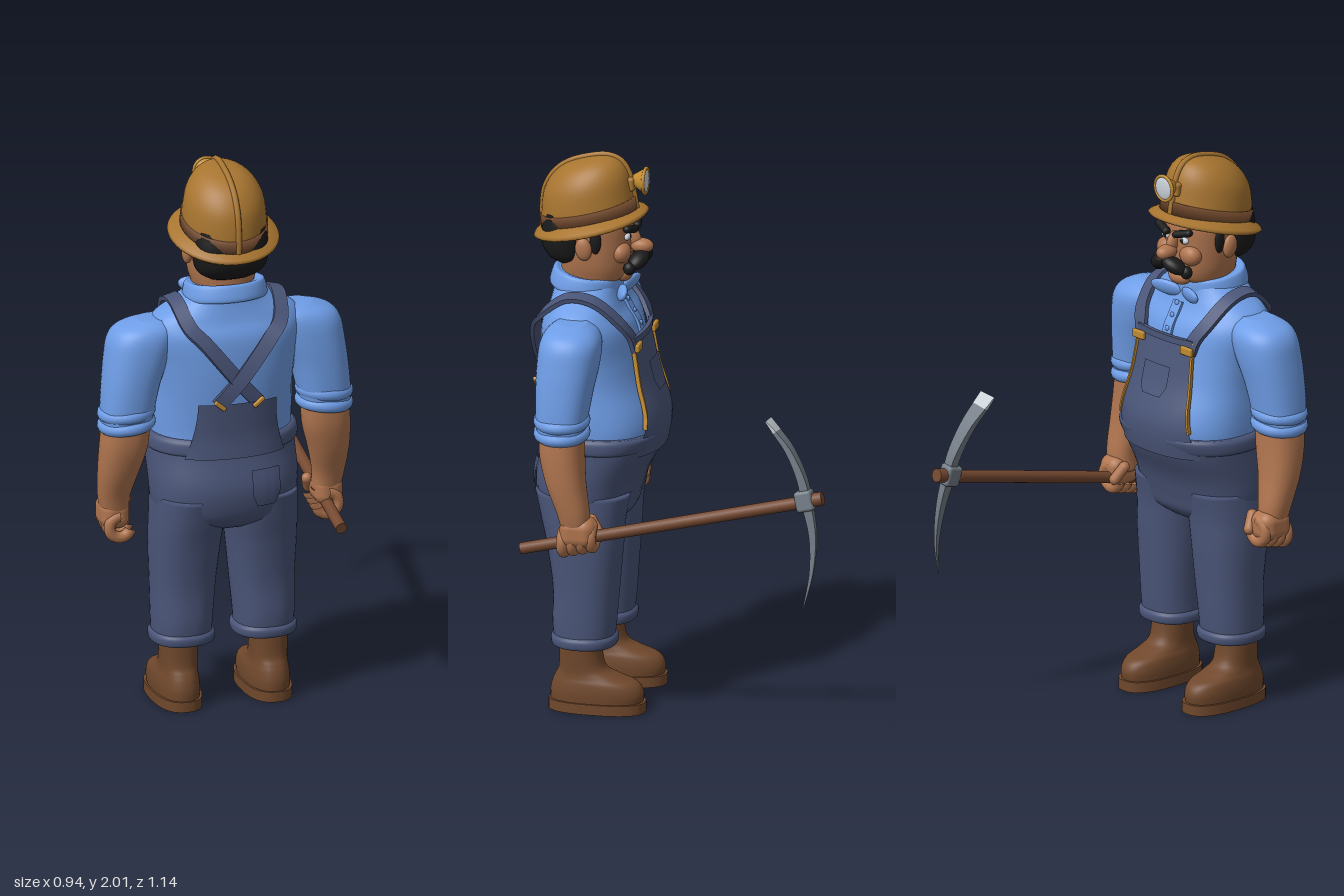
import * as THREE from 'three';
import { toCreasedNormals } from 'three/addons/utils/BufferGeometryUtils.js';
import { RoundedBoxGeometry } from 'three/addons/geometries/RoundedBoxGeometry.js';

const V = (x, y, z) => new THREE.Vector3(x, y, z);
const colours = {
  skin: 0xb0754f, shirt: 0x6f9ee8, denim: 0x4a5578, brass: 0xa87530, leather: 0x70482c,
  hair: 0x1a1a1a, steel: 0x727c86, pale: 0xc8d0d6, gold: 0xc08a30, wood: 0x744830,
};
const mats = {};
for (const [name, hex] of Object.entries(colours)) {
  mats[name] = new THREE.MeshStandardMaterial({ color: hex });
  mats[name].name = name;
}
mats.denim.side = THREE.DoubleSide;

function add(parent, name, geo, mat, pos = [0, 0, 0], scale = [1, 1, 1], rot = [0, 0, 0]) {
  const m = new THREE.Mesh(geo, mats[mat]);
  m.name = name;
  m.position.set(...pos); m.scale.set(...scale); m.rotation.set(...rot);
  parent.add(m);
  return m;
}

// Closed body through rounded cross-sections [y, cx, cz, rx, rz], listed bottom to top
function loft(rings, power = 2.3, seg = 40, sub = 5) {
  const pos = [], idx = [], rows = [], last = rings.length - 1;
  for (let i = 0; i < last; i++) for (let k = 0; k < sub; k++) {
    const [a, b, c, d] = [i - 1, i, i + 1, i + 2].map(j => rings[Math.min(last, Math.max(0, j))]);
    const t = k / sub;
    rows.push(b.map((v, n) => v + 0.5 * t * (c[n] - a[n] + t * (2 * a[n] - 5 * v + 4 * c[n] - d[n]
      + t * (3 * (v - c[n]) + d[n] - a[n])))));
  }
  rows.push(rings[last]);
  const bend = v => Math.sign(v) * Math.abs(v) ** (2 / power);
  rows.forEach(([y, cx, cz, rx, rz], r) => {
    for (let j = 0; j < seg; j++) {
      const a = j / seg * Math.PI * 2, n = (j + 1) % seg, p = r * seg;
      pos.push(cx + rx * bend(Math.cos(a)), y, cz + rz * bend(Math.sin(a)));
      if (r < rows.length - 1) idx.push(p + j, p + seg + j, p + n, p + n, p + seg + j, p + seg + n);
    }
  });
  const end = rows.length * seg, top = end - seg;
  for (const r of [rows[0], rows[rows.length - 1]]) pos.push(r[1], r[0], r[2]);
  for (let j = 0; j < seg; j++) {
    const n = (j + 1) % seg;
    idx.push(end, j, n, end + 1, top + n, top + j);
  }
  return mesh(pos, idx);
}
function mesh(pos, idx) {
  const g = new THREE.BufferGeometry();
  g.setAttribute('position', new THREE.Float32BufferAttribute(pos, 3));
  g.setIndex(idx);
  g.computeVertexNormals();
  return g;
}

// Rectangular bar swept along points; out(p) gives its facing, w and h its half sizes
function strip(points, out, w, h, n = 24) {
  const curve = new THREE.CatmullRomCurve3(points), pos = [], idx = [];
  for (let i = 0; i <= n; i++) {
    const u = i / n, p = curve.getPoint(u), t = curve.getTangent(u);
    const s = t.clone().cross(out(p)).normalize(), o = s.clone().cross(t);
    for (const [a, b] of [[1, 1], [-1, 1], [-1, -1], [1, -1]])
      pos.push(...p.clone().addScaledVector(s, a * w(u)).addScaledVector(o, b * h(u)).toArray());
    if (i < n) for (let j = 0; j < 4; j++) {
      const a = i * 4 + j, b = i * 4 + (j + 1) % 4;
      idx.push(a, a + 4, b, b, a + 4, b + 4);
    }
  }
  const e = n * 4;
  idx.push(0, 1, 2, 0, 2, 3, e, e + 2, e + 1, e, e + 3, e + 2);
  return toCreasedNormals(mesh(pos, idx), 0.7);
}

// Points on the clothed body, found from the front or back (dir) or from above
const ray = new THREE.Raycaster();
function onBody(body, x, y, dir, off) {
  ray.set(V(x, y, dir * 3), V(0, 0, -dir));
  const hit = ray.intersectObject(body)[0];
  return V(x, y, (hit ? hit.point.z : 0.35) + dir * off);
}
function onTop(body, x, z, off) {
  ray.set(V(x, 3, z), V(0, -1, 0));
  const hit = ray.intersectObject(body)[0];
  return V(x, (hit ? hit.point.y : 1.5) + off, z);
}
// Cloth panel laid on the body, half width given by wide(v)
function panel(body, cx, y0, y1, wide, dir, off, n = 14) {
  const pos = [], idx = [];
  for (let i = 0; i <= n; i++) for (let j = 0; j <= n; j++) {
    const x = cx + (2 * j / n - 1) * wide(i / n);
    pos.push(...onBody(body, x, y0 + (y1 - y0) * i / n, dir, off).toArray());
    if (i < n && j < n) {
      const a = i * (n + 1) + j, b = a + 1, c = a + n + 1, d = c + 1;
      idx.push(...(dir > 0 ? [a, b, c, b, d, c] : [a, c, b, b, c, d]));
    }
  }
  return mesh(pos, idx);
}

export function createModel() {
  const g = new THREE.Group();
  g.name = 'miner';
  const ball = new THREE.SphereGeometry(1, 24, 16);

  // Shirt body and trousers
  const torso = add(g, 'shirtBody', loft([[0.94, 0, 0.31, 0.25, 0.2], [1.03, 0, 0.3, 0.258, 0.205],
    [1.1, 0, 0.307, 0.258, 0.203], [1.2, 0, 0.33, 0.255, 0.19], [1.3, 0, 0.345, 0.265, 0.18],
    [1.4, 0, 0.355, 0.285, 0.165], [1.46, 0, 0.362, 0.265, 0.135], [1.51, 0, 0.365, 0.19, 0.12],
    [1.55, 0, 0.365, 0.135, 0.115]]), 'shirt');
  const hips = add(g, 'trouserSeat', loft([[0.67, 0, 0.35, 0.17, 0.1], [0.71, 0, 0.355, 0.24, 0.155],
    [0.77, 0, 0.358, 0.262, 0.178], [0.85, 0, 0.348, 0.268, 0.195], [0.95, 0, 0.31, 0.268, 0.21],
    [1.02, 0, 0.295, 0.268, 0.215]]), 'denim');
  add(g, 'waistband', loft([[0.965, 0, 0.307, 0.268, 0.205], [0.975, 0, 0.305, 0.279, 0.214],
    [1.01, 0, 0.298, 0.279, 0.22], [1.025, 0, 0.295, 0.268, 0.21]]), 'denim');

  // Bib, back panel and pockets
  const frontWide = v => 0.2 - 0.06 * Math.sin(v * Math.PI / 2);
  const backWide = v => 0.145 + 0.04 * (1 - v) ** 2;
  add(g, 'frontBib', panel(torso, 0, 0.95, 1.37, frontWide, -1, 0.02), 'denim');
  add(g, 'backPanel', panel(torso, 0, 0.96, 1.17, backWide, 1, 0.025), 'denim');
  add(g, 'bibPocket', panel(torso, 0, 1.16, 1.27, v => 0.045 + 0.02 * Math.min(1, v * 3), -1, 0.03), 'denim');
  add(g, 'backPocket', panel(hips, 0.102, 0.775, 0.91, v => 0.035 + 0.02 * Math.min(1, v * 3), 1, 0.01), 'denim');
  const away = p => p.clone().sub(V(p.x * 0.6, 1.2, 0.36));
  const rim = (y0, y1, wide, dir, off) => s => Array.from({ length: 8 }, (_, i) =>
    onBody(torso, s * wide(i / 7), y0 + (y1 - y0) * i / 7, dir, off));
  const bibRim = rim(1.05, 1.37, v => frontWide(0.24 + 0.76 * v), -1, 0.02);
  add(g, 'bibHem', strip([-1, -0.5, 0, 0.5, 1].map(u => onBody(torso, u * 0.14, 1.365, -1, 0.022)),
    () => V(0, 0, -1), () => 0.012, () => 0.008), 'denim');

  for (const s of [-1, 1]) {
    // Braces running over the shoulder and crossing behind
    const lift = s > 0 ? 0.02 : 0.011;
    const path = [[0.125, 1.33], [0.14, 1.38], [0.165, 1.43]].map(([x, y]) => onBody(torso, s * x, y, -1, 0.018));
    for (const z of [0.29, 0.35, 0.41]) path.push(onTop(torso, s * 0.187, z, 0.014));
    for (const [x, y] of [[0.165, 1.45], [0.12, 1.4], [0.06, 1.325], [0, 1.25], [-0.075, 1.165]])
      path.push(onBody(torso, s * x, y, 1, lift));
    add(g, 'brace', strip(path, away, () => 0.026, () => 0.008, 70), 'denim');
    // Gold trim and buckles
    add(g, 'bibTrim', strip(bibRim(s), away, () => 0.004, () => 0.008), 'gold');
    const f = onBody(torso, s * 0.125, 1.34, -1, 0.032), b = onBody(torso, s * 0.072, 1.168, 1, 0.03);
    add(g, 'frontBuckle', new RoundedBoxGeometry(0.06, 0.03, 0.016, 2, 0.006), 'gold', f.toArray());
    add(g, 'backBuckle', new RoundedBoxGeometry(0.05, 0.016, 0.014, 2, 0.005), 'gold', b.toArray(), [1, 1, 1], [0, 0, s * 0.7]);

    // Trouser leg, turn-up and boot
    add(g, 'trouserLeg', loft([[0.25, s * 0.152, 0.345, 0.105, 0.105], [0.32, s * 0.152, 0.345, 0.108, 0.113],
      [0.45, s * 0.147, 0.34, 0.115, 0.118], [0.6, s * 0.142, 0.345, 0.125, 0.135],
      [0.7, s * 0.135, 0.353, 0.13, 0.15], [0.8, s * 0.13, 0.355, 0.13, 0.17]]), 'denim');
    add(g, 'turnUp', loft([[0.235, s * 0.152, 0.345, 0.1, 0.1], [0.243, s * 0.152, 0.345, 0.114, 0.115],
      [0.268, s * 0.152, 0.345, 0.116, 0.118], [0.282, s * 0.152, 0.345, 0.104, 0.106]]), 'denim');
    const x = s * 0.167;
    add(g, 'boot', loft([[0.03, x, 0.298, 0.078, 0.165], [0.07, x, 0.296, 0.08, 0.168], [0.105, x, 0.303, 0.076, 0.153],
      [0.128, x, 0.328, 0.069, 0.118], [0.16, x, 0.35, 0.066, 0.083], [0.25, x, 0.357, 0.069, 0.074]]), 'leather');
    add(g, 'sole', toCreasedNormals(loft([[0, x, 0.296, 0.085, 0.174], [0.038, x, 0.296, 0.085, 0.174]], 2.5, 40, 1), 0.7), 'leather');

    // Sleeve with two rolls
    add(g, 'sleeve', loft([[1.07, s * 0.37, 0.378, 0.09, 0.085], [1.14, s * 0.364, 0.378, 0.096, 0.092],
      [1.24, s * 0.348, 0.372, 0.104, 0.102], [1.33, s * 0.325, 0.364, 0.116, 0.11],
      [1.4, s * 0.305, 0.36, 0.122, 0.108], [1.44, s * 0.285, 0.362, 0.108, 0.088],
      [1.465, s * 0.26, 0.364, 0.06, 0.05]]), 'shirt');
    for (const y of [1.085, 1.13])
      add(g, 'sleeveRoll', new THREE.TorusGeometry(0.084, 0.021, 12, 36), 'shirt', [s * 0.367, y, 0.378],
        [1, 0.96, 1.1], [Math.PI / 2, s * -0.1, 0]);
    // Forearm and fist
    add(g, 'forearm', loft([[0.73, s * 0.392, 0.32, 0.05, 0.05], [0.8, s * 0.398, 0.33, 0.057, 0.058],
      [0.9, s * 0.39, 0.357, 0.073, 0.07], [1, s * 0.376, 0.374, 0.086, 0.079],
      [1.09, s * 0.37, 0.378, 0.084, 0.08]]), 'skin');
    add(g, 'palm', new RoundedBoxGeometry(0.105, 0.11, 0.13, 5, 0.04), 'skin', [s * 0.397, 0.73, 0.31]);
    for (let i = 0; i < 4; i++)
      add(g, 'finger', new THREE.TorusGeometry(0.04, 0.021, 10, 20, 4.4), 'skin',
        [s * 0.385, 0.712 - i * 0.008, 0.262 + i * 0.034], [s, 1, 1], [0, 0, s * -2.9]);
    add(g, 'thumb', new THREE.CapsuleGeometry(0.02, 0.055, 5, 12), 'skin', [s * 0.345, 0.735, 0.262], [1, 1, 1], [0.6, 0, s * 0.3]);

    // Collar point, ear and face details
    add(g, 'collarPoint', ball, 'shirt', [s * 0.06, 1.515, 0.232], [0.065, 0.03, 0.016], [-0.35, s * 0.3, s * 0.25]);
    add(g, 'ear', ball, 'skin', [s * 0.134, 1.69, 0.355], [0.018, 0.042, 0.03], [0.15, 0, 0]);
    add(g, 'sideburn', ball, 'hair', [s * 0.122, 1.72, 0.315], [0.014, 0.05, 0.022]);
    add(g, 'cheek', ball, 'skin', [s * 0.06, 1.665, 0.235], [0.045, 0.038, 0.035]);
    add(g, 'eye', ball, 'pale', [s * 0.047, 1.72, 0.216], [0.02, 0.013, 0.012]);
    add(g, 'pupil', ball, 'hair', [s * 0.045, 1.72, 0.207], [0.008, 0.009, 0.005]);
    add(g, 'eyebrow', new THREE.CapsuleGeometry(0.014, 0.055, 5, 12), 'hair', [s * 0.052, 1.75, 0.203], [1, 1, 1.1], [0, s * -0.25, s * (Math.PI / 2 + 0.25)]);
    add(g, 'moustache', ball, 'hair', [s * 0.035, 1.634, 0.178], [0.05, 0.027, 0.034], [0, s * -0.4, s * -0.45]);
    add(g, 'moustacheTip', ball, 'hair', [s * 0.072, 1.61, 0.203], [0.022, 0.024, 0.022]);
  }

  // Collar and shirt front
  add(g, 'collar', loft([[-0.035, 0, 0, 0.13, 0.11], [-0.028, 0, 0, 0.152, 0.13], [0.018, 0, 0, 0.146, 0.125],
    [0.03, 0, 0, 0.135, 0.115], [0.024, 0, 0, 0.11, 0.1]], 2.1), 'shirt', [0, 1.55, 0.37], [1, 1, 1], [-0.14, 0, 0]);
  add(g, 'placket', strip([1.36, 1.4, 1.44, 1.48].map(y => onBody(torso, 0, y, -1, 0.004)), away, () => 0.022, () => 0.005), 'shirt');
  for (const y of [1.39, 1.435, 1.475])
    add(g, 'shirtButton', ball, 'shirt', onBody(torso, 0, y, -1, 0.01).toArray(), [0.01, 0.01, 0.006]);

  // Head
  add(g, 'head', loft([[1.48, 0, 0.36, 0.1, 0.085], [1.545, 0, 0.352, 0.105, 0.1], [1.572, 0, 0.342, 0.11, 0.118],
    [1.62, 0, 0.338, 0.122, 0.125], [1.7, 0, 0.342, 0.129, 0.132], [1.78, 0, 0.352, 0.13, 0.138],
    [1.86, 0, 0.36, 0.1, 0.11]], 2.2), 'skin');
  add(g, 'chin', ball, 'skin', [0, 1.572, 0.237], [0.05, 0.03, 0.03]);
  add(g, 'nose', ball, 'skin', [0, 1.676, 0.174], [0.03, 0.027, 0.042]);
  add(g, 'noseBridge', ball, 'skin', [0, 1.705, 0.203], [0.018, 0.045, 0.025], [0.35, 0, 0]);
  add(g, 'lip', ball, 'skin', [0, 1.603, 0.213], [0.035, 0.012, 0.015]);
  add(g, 'hair', loft([[1.615, 0, 0.43, 0.08, 0.045], [1.64, 0, 0.43, 0.118, 0.078], [1.68, 0, 0.435, 0.134, 0.094],
    [1.74, 0, 0.43, 0.138, 0.1], [1.8, 0, 0.42, 0.13, 0.1]]), 'hair');

  // Helmet, tilted back
  const hat = new THREE.Group();
  hat.name = 'helmet';
  hat.position.set(0, 1.773, 0.363);
  hat.rotation.x = 0.24;
  g.add(hat);
  const crown = [[0, 0, 0, 0.15, 0.175], [0.06, 0, -0.008, 0.148, 0.17], [0.13, 0, -0.022, 0.136, 0.157],
    [0.18, 0, -0.036, 0.105, 0.125], [0.208, 0, -0.045, 0.06, 0.075], [0.216, 0, -0.048, 0.004, 0.004]];
  add(hat, 'crown', loft(crown, 2), 'brass');
  add(hat, 'hatBand', loft([[-0.005, 0, 0, 0.155, 0.18], [0.045, 0, -0.006, 0.153, 0.177]], 2, 40, 1), 'leather');
  add(hat, 'brim', new THREE.LatheGeometry([[0.13, -0.005], [0.175, -0.022], [0.193, -0.03], [0.2, -0.022],
    [0.193, -0.014], [0.16, 0.006], [0.13, 0.012]].map(p => new THREE.Vector2(...p)), 48), 'brass', [0, 0, 0], [0.99, 1, 1.05]);
  add(hat, 'brimUnderside', new THREE.CylinderGeometry(0.14, 0.14, 0.006, 40), 'brass', [0, 0, 0], [1, 1, 1.15]);
  const ridge = [...crown.map(r => V(0, r[0], r[2] + r[4])), ...crown.slice(0, 5).reverse().map(r => V(0, r[0], r[2] - r[4]))];
  add(hat, 'ridge', new THREE.TubeGeometry(new THREE.CatmullRomCurve3(ridge), 50, 0.011, 8), 'brass');

  // Lamp
  add(g, 'lampCup', new THREE.CylinderGeometry(0.02, 0.048, 0.045, 28), 'gold', [0, 1.917, 0.182], [1, 1, 1], [Math.PI / 2, 0, 0]);
  add(g, 'lampRim', new THREE.TorusGeometry(0.045, 0.006, 10, 28), 'gold', [0, 1.917, 0.161]);
  add(g, 'lampLens', ball, 'pale', [0, 1.917, 0.161], [0.042, 0.042, 0.009]);
  add(g, 'lampBracket', new RoundedBoxGeometry(0.06, 0.05, 0.05, 2, 0.01), 'brass', [0, 1.905, 0.222]);

  // Pickaxe
  const pick = new THREE.Group();
  pick.name = 'pickaxe';
  g.add(pick);
  const slope = Math.atan2(0.265, 1.09);
  add(pick, 'handle', new THREE.CylinderGeometry(0.023, 0.021, 1.12, 20), 'wood', [0.385, 0.779, -0.022], [1, 1, 1], [slope - Math.PI / 2, 0, 0]);
  add(pick, 'handleKnob', new THREE.CylinderGeometry(0.024, 0.026, 0.05, 20), 'wood', [0.385, 0.909, -0.548], [1, 1, 1], [slope - Math.PI / 2, 0, 0]);
  add(pick, 'socket', new RoundedBoxGeometry(0.056, 0.075, 0.065, 3, 0.012), 'steel', [0.385, 0.902, -0.508], [1, 1, 1], [slope, 0, 0.12]);
  const forward = () => V(0, 0.3, -1);
  add(pick, 'chisel', strip([V(0.386, 0.9, -0.515), V(0.376, 0.98, -0.495), V(0.36, 1.08, -0.445), V(0.35, 1.14, -0.397)],
    forward, u => 0.016 + 0.017 * u, u => 0.018 - 0.011 * u), 'steel');
  add(pick, 'chiselEdge', strip([V(0.35, 1.14, -0.397), V(0.347, 1.16, -0.381), V(0.345, 1.18, -0.364)],
    forward, u => 0.033 + 0.004 * u, u => 0.007 - 0.005 * u, 6), 'pale');
  add(pick, 'spike', strip([V(0.386, 0.9, -0.515), V(0.4, 0.78, -0.54), V(0.42, 0.65, -0.54), V(0.44, 0.52, -0.515)],
    forward, u => 0.017 - 0.0155 * u, u => 0.018 - 0.0165 * u), 'steel');
  return g;
}
